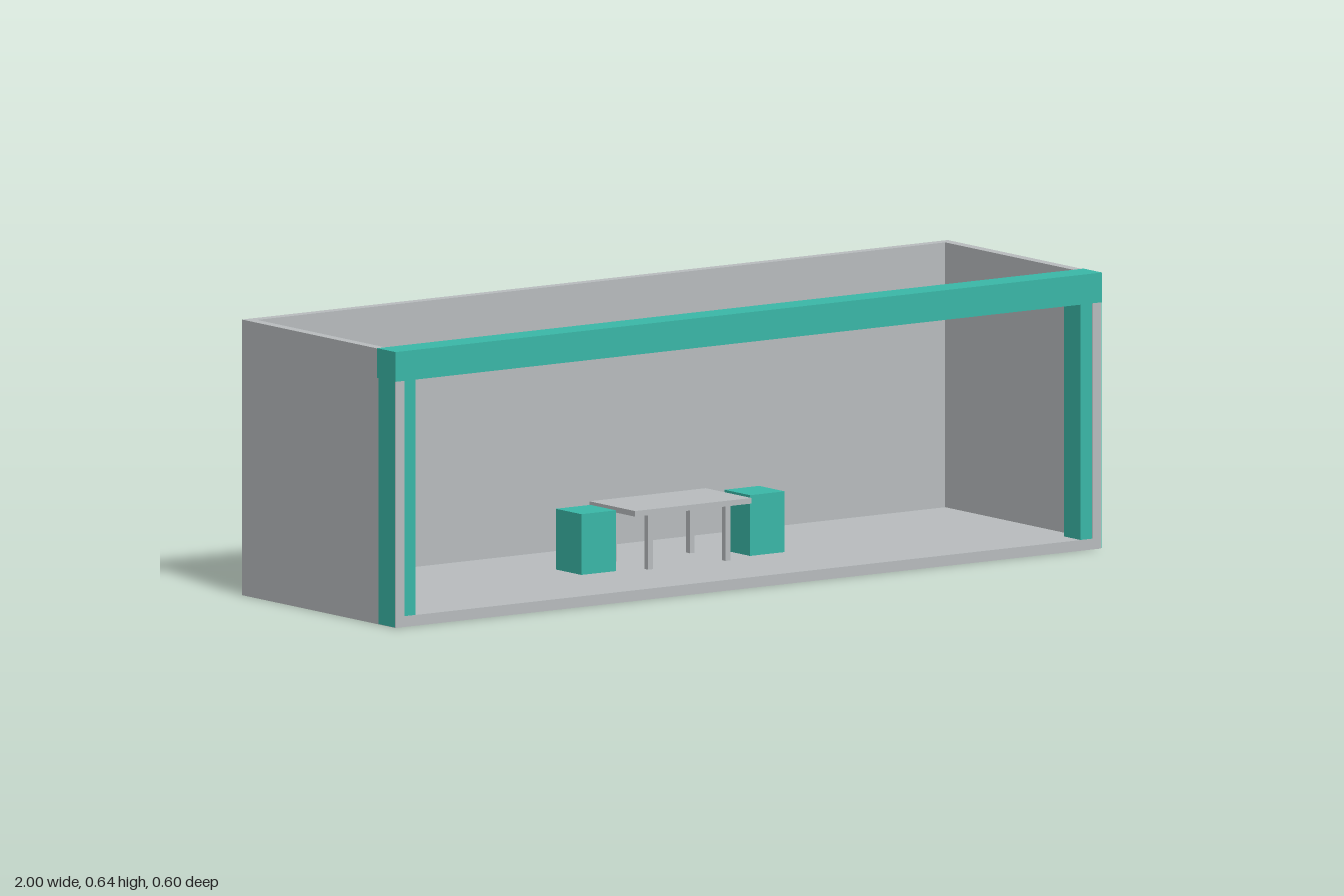
import * as THREE from 'three';

export function createModel() {
  const group = new THREE.Group();
  const grey = new THREE.MeshStandardMaterial({ color: 0xb9bdbf });
  grey.name = 'light grey';
  const teal = new THREE.MeshStandardMaterial({ color: 0x3ab8a8 });
  teal.name = 'teal';

  // Box given by its lower and upper corners
  function box(name, material, [x0, y0, z0], [x1, y1, z1], parent = group) {
    const geometry = new THREE.BoxGeometry(x1 - x0, y1 - y0, z1 - z0);
    const mesh = new THREE.Mesh(geometry, material);
    mesh.position.set((x0 + x1) / 2, (y0 + y1) / 2, (z0 + z1) / 2);
    mesh.name = name;
    parent.add(mesh);
    return mesh;
  }

  const H = 0.64, D = 0.3, T = 0.025; // room height, half depth, wall thickness

  // Open-topped, open-fronted room
  box('floor', grey, [-1 + T, 0, -D + T], [1 - T, T, D]);
  box('backWall', grey, [-1 + T, 0, -D], [1 - T, H, -D + T]);
  box('rightWall', grey, [-1, 0, -D], [-1 + T, H, D]);
  box('leftWall', grey, [1 - T, 0, -D], [1, H, D]);

  // Front frame: beam standing just proud of the walls, posts wrapping their front ends
  box('frontBeam', teal, [-1.001, 0.572, 0.23], [1.001, H + 0.001, D + 0.002]);
  for (const [side, s] of [['right', -1], ['left', 1]]) {
    const inner = 0.942 * s, outer = 1.001 * s;
    box(side + 'Post', teal, [Math.min(inner, outer), 0.001, 0.235], [Math.max(inner, outer), 0.575, D - 0.001]);
    // Cube-like seat at each end of the table
    const x = 0.239 * s;
    box(side + 'Seat', teal, [x - 0.049, T, -0.055], [x + 0.049, 0.166, 0.045]);
  }

  // Table with four square legs
  const table = new THREE.Group();
  table.name = 'table';
  group.add(table);
  box('tableTop', grey, [-0.165, 0.154, -0.094], [0.165, 0.167, 0.085], table);
  for (const x of [-0.112, 0.108]) {
    for (const z of [-0.075, 0.065]) {
      box('tableLeg', grey, [x - 0.007, T, z - 0.007], [x + 0.007, 0.155, z + 0.007], table);
    }
  }

  return group;
}
